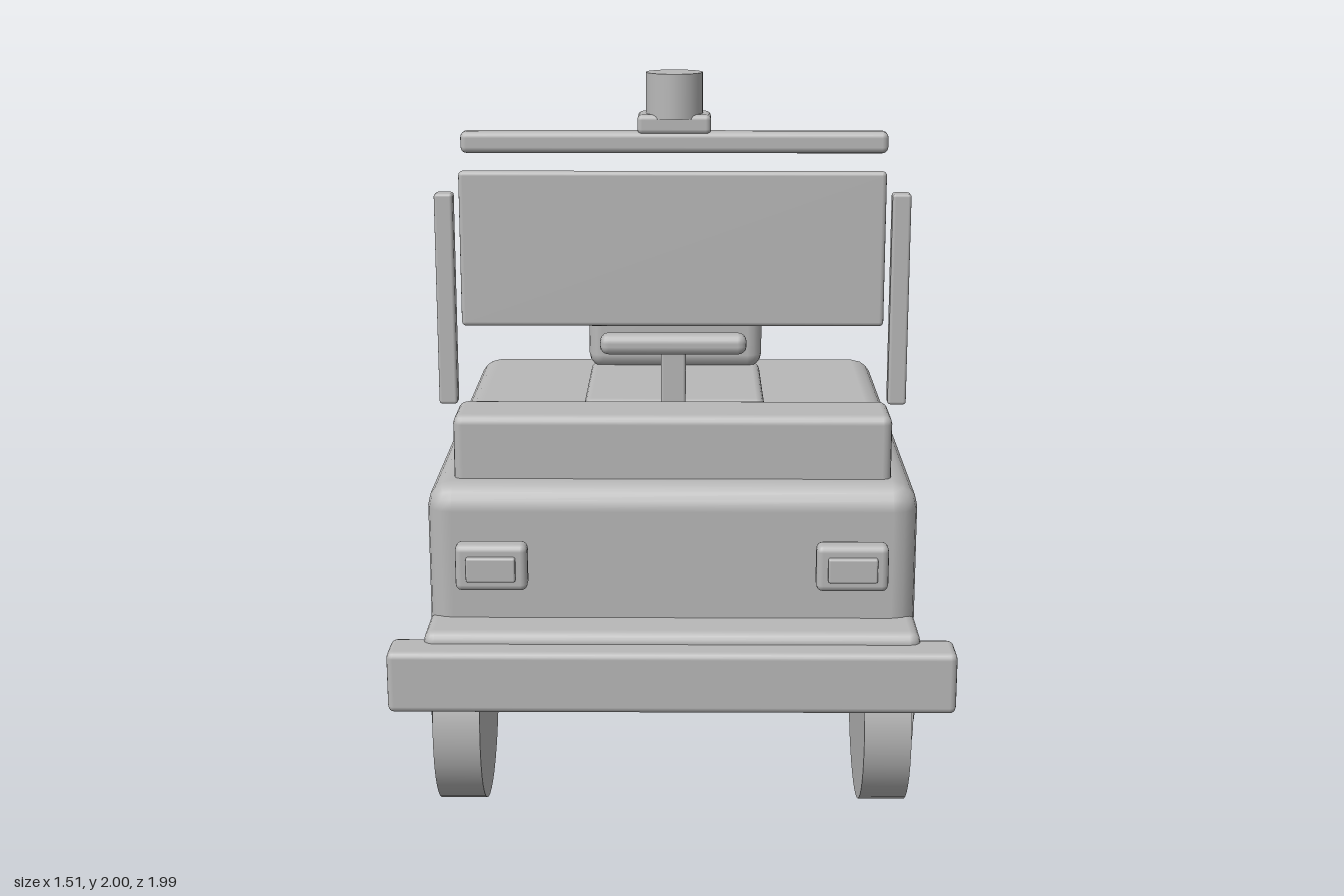
import * as THREE from 'three';
import { RoundedBoxGeometry } from 'three/addons/geometries/RoundedBoxGeometry.js';

export function createModel() {
  const model = new THREE.Group();
  model.name = 'utilityCart';
  const grey = new THREE.MeshStandardMaterial({ color: 0xb8b8b8 });
  grey.name = 'plain grey';

  const add = (name, geometry, x, y, z) => {
    const mesh = new THREE.Mesh(geometry, grey);
    mesh.name = name;
    mesh.position.set(x, y, z);
    model.add(mesh);
    return mesh;
  };

  // Bevelled box given by its extents on each axis
  const box = (name, [x0, x1], [y0, y1], [z0, z1], bevel) =>
    add(name, new RoundedBoxGeometry(x1 - x0, y1 - y0, z1 - z0, 2, bevel),
      (x0 + x1) / 2, (y0 + y1) / 2, (z0 + z1) / 2);

  // Disc on a sideways axle, given by its x extents
  const disc = (name, x0, x1, y, z, radius) => {
    const mesh = add(name, new THREE.CylinderGeometry(radius, radius, x1 - x0, 40), (x0 + x1) / 2, y, z);
    mesh.rotation.z = Math.PI / 2;
  };

  // Chassis and body shell
  box('chassis', [-0.665, 0.665], [0.43, 0.59], [-0.925, 0.925], 0.03);
  box('body', [-0.665, 0.665], [0.49, 0.96], [-0.8, 0.8], 0.07);
  box('frontBumper', [-0.755, 0.755], [0.39, 0.56], [0.875, 0.995], 0.018);
  box('rearBumper', [-0.755, 0.755], [0.39, 0.56], [-0.995, -0.875], 0.018);

  // Dashboard and steering
  box('dashboard', [-0.595, 0.595], [0.9, 1.135], [0.53, 0.72], 0.025);
  box('steeringColumn', [-0.035, 0.035], [0.9, 1.27], [0.385, 0.447], 0.008);
  box('steeringBar', [-0.205, 0.205], [1.253, 1.312], [0.44, 0.508], 0.025);

  // Seat
  box('seatCushion', [-0.27, 0.27], [0.9, 1.04], [-0.365, 0.162], 0.025);
  box('seatBack', [-0.275, 0.275], [1.03, 1.505], [-0.4, -0.285], 0.045);

  // Windscreen, roof bar and beacon
  box('windscreen', [-0.56, 0.56], [1.387, 1.8], [0.715, 0.742], 0.012);
  box('roofBar', [-0.622, 0.622], [1.77, 1.833], [0.068, 0.135], 0.018);
  box('beaconBase', [-0.107, 0.107], [1.825, 1.882], [-0.002, 0.135], 0.015);
  add('beacon', new THREE.CylinderGeometry(0.083, 0.083, 0.13, 32), 0, 1.935, 0.068);

  // Paired parts on both sides
  for (const side of [-1, 1]) {
    const span = (a, b) => (side > 0 ? [a, b] : [-b, -a]);
    box('windscreenPost', span(0.577, 0.626), [1.172, 1.74], [0.687, 0.735], 0.008);
    box('headlight', span(0.38, 0.57), [0.72, 0.847], [0.902, 0.962], 0.018);
    box('headlightLens', span(0.41, 0.54), [0.75, 0.817], [0.94, 0.977], 0.006);

    // Wheels with stepped hubs
    for (const z of [-0.622, 0.622]) {
      disc('wheel', ...span(0.522, 0.65), 0.277, z, 0.274);
      disc('wheelHub', ...span(0.62, 0.67), 0.277, z, 0.13);
      disc('hubCap', ...span(0.64, 0.681), 0.277, z, 0.06);
    }
  }
  return model;
}
